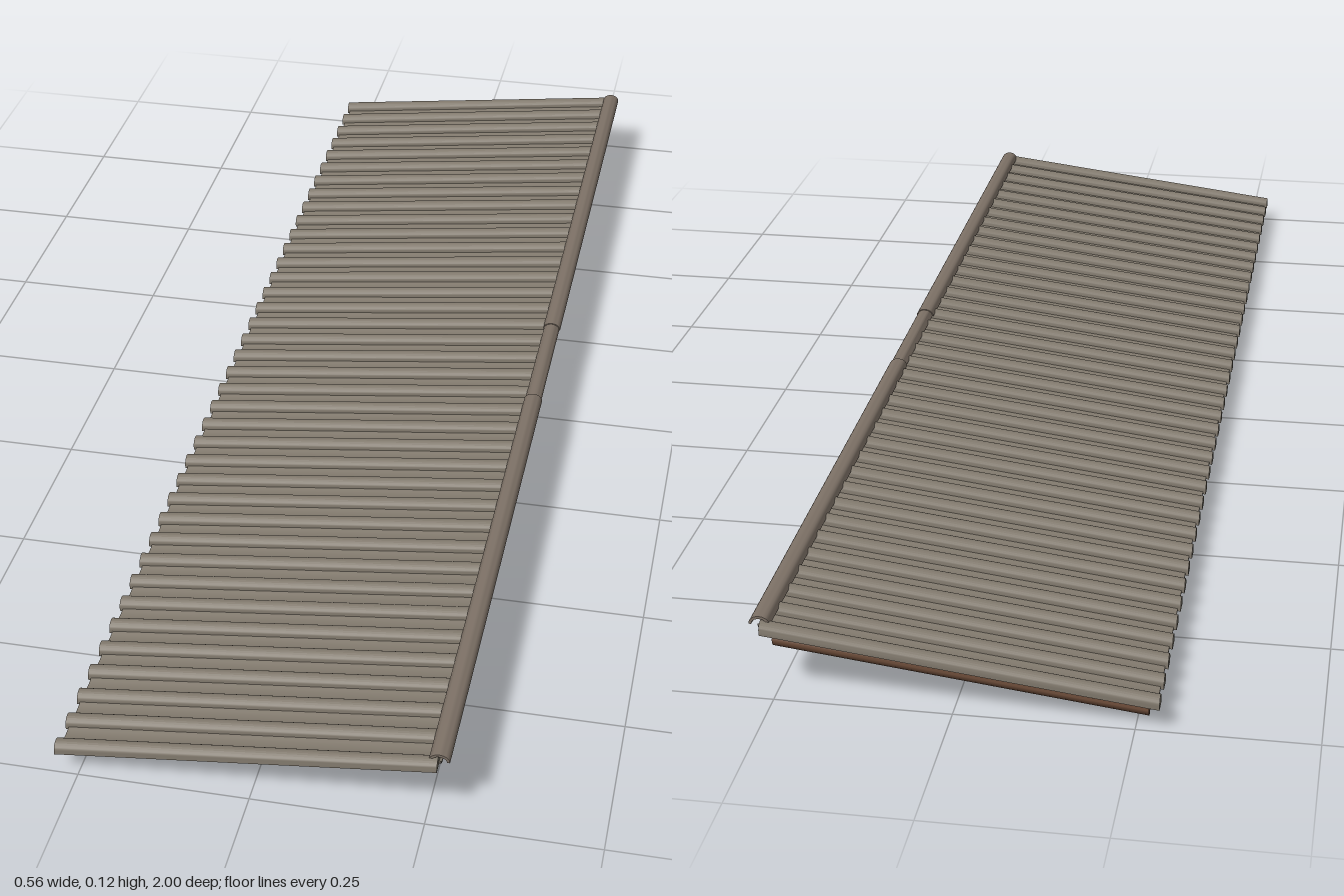
import * as THREE from 'three';
import { toCreasedNormals } from 'three/addons/utils/BufferGeometryUtils.js';

const SLOPE = 0.122;
// Leans a level part to the roof pitch while its end cuts stay vertical
const pitch = new THREE.Matrix4().set(1, 0, 0, 0, SLOPE, 1, 0, 0, 0, 0, 1, 0, 0, 0, 0, 1);

const tile = new THREE.MeshStandardMaterial({ color: 0x80786c });
tile.name = 'weathered tile';
const ridgeGrey = new THREE.MeshStandardMaterial({ color: 0x7d7166 });
ridgeGrey.name = 'ridge tile';
const boardWood = new THREE.MeshStandardMaterial({ color: 0x7a5a42 });
boardWood.name = 'board wood';
const rafterWood = new THREE.MeshStandardMaterial({ color: 0x6b4b38 });
rafterWood.name = 'rafter wood';

// Points on an elliptical arc
function arc(cx, cy, rx, ry, from, to, n) {
  return Array.from({ length: n + 1 }, (_, i) => {
    const a = from + (to - from) * i / n;
    return new THREE.Vector2(cx + rx * Math.cos(a), cy + ry * Math.sin(a));
  });
}

function extrude(points, depth) {
  return new THREE.ExtrudeGeometry(new THREE.Shape(points), { depth, bevelEnabled: false });
}

// Runs a cross-section (across, up) from eave x0 to ridge x1 along the pitch
function runUpSlope(points, x0, x1) {
  const g = extrude(points, x1 - x0).rotateY(Math.PI / 2).translate(x0, 0, 0).applyMatrix4(pitch);
  return toCreasedNormals(g, 0.8);
}

export function createModel() {
  const roof = new THREE.Group();
  roof.name = 'roof';
  const add = (name, geometry, material, z = 0) => {
    const mesh = new THREE.Mesh(geometry, material);
    mesh.name = name;
    mesh.position.z = z;
    roof.add(mesh);
  };

  // Round rafters
  const rafter = runUpSlope(arc(0, 0.0436, 0.01, 0.0113, 0, Math.PI * 2, 12).slice(0, 12), -0.265, 0.257);
  for (let i = 0; i < 25; i++) add('rafter', rafter, rafterWood, -0.96 + i * 0.08);

  // Sheathing boards, laid across the rafters with uneven ends
  const boards = 9, boardWidth = 0.524 / boards;
  for (let i = 0; i < boards; i++) {
    const length = 1.94 + 0.01 * ((i * 2) % 3);
    const g = new THREE.BoxGeometry(boardWidth - 0.001, 0.014, length);
    g.translate(-0.262 + (i + 0.5) * boardWidth, 0.061, 0).applyMatrix4(pitch);
    add('sheathingBoard', g, boardWood);
  }

  // Half-round cover tiles with hollow pan tiles between them
  const covers = 38, step = 1.977 / (covers - 1);
  const half = step / 2;
  const cover = runUpSlope([
    ...arc(0, 0.073, 0.0115, 0.0115, 0, Math.PI, 12),
    new THREE.Vector2(-0.0115, 0.067), new THREE.Vector2(0.0115, 0.067),
  ], -0.2825, 0.266);
  const pan = runUpSlope([
    ...arc(0, 0.076, half, 0.010, Math.PI, Math.PI * 2, 8),
    ...arc(0, 0.079, half, 0.010, Math.PI * 2, Math.PI, 8),
  ], -0.278, 0.27);
  for (let i = 0; i < covers; i++) {
    const z = -0.9885 + i * step;
    add('coverTile', cover, tile, z);
    if (i < covers - 1) add('panTile', pan, tile, z + half);
  }

  // Ridge cap in three lengths, the middle one tucked under its neighbours
  const cap = (from, to, inset) => {
    const profile = [
      ...arc(0.2675, 0.111, 0.015 - inset, 0.0125 - inset, 0, Math.PI, 10),
      ...arc(0.2675, 0.111, 0.011 - inset, 0.0085 - inset, Math.PI, 0, 10),
    ];
    add('ridgeCap', toCreasedNormals(extrude(profile, to - from).translate(0, 0, from), 0.8), ridgeGrey);
  };
  cap(-0.99, -0.11, 0);
  cap(-0.115, 0.115, 0.0015);
  cap(0.11, 0.99, 0);

  return roof;
}
